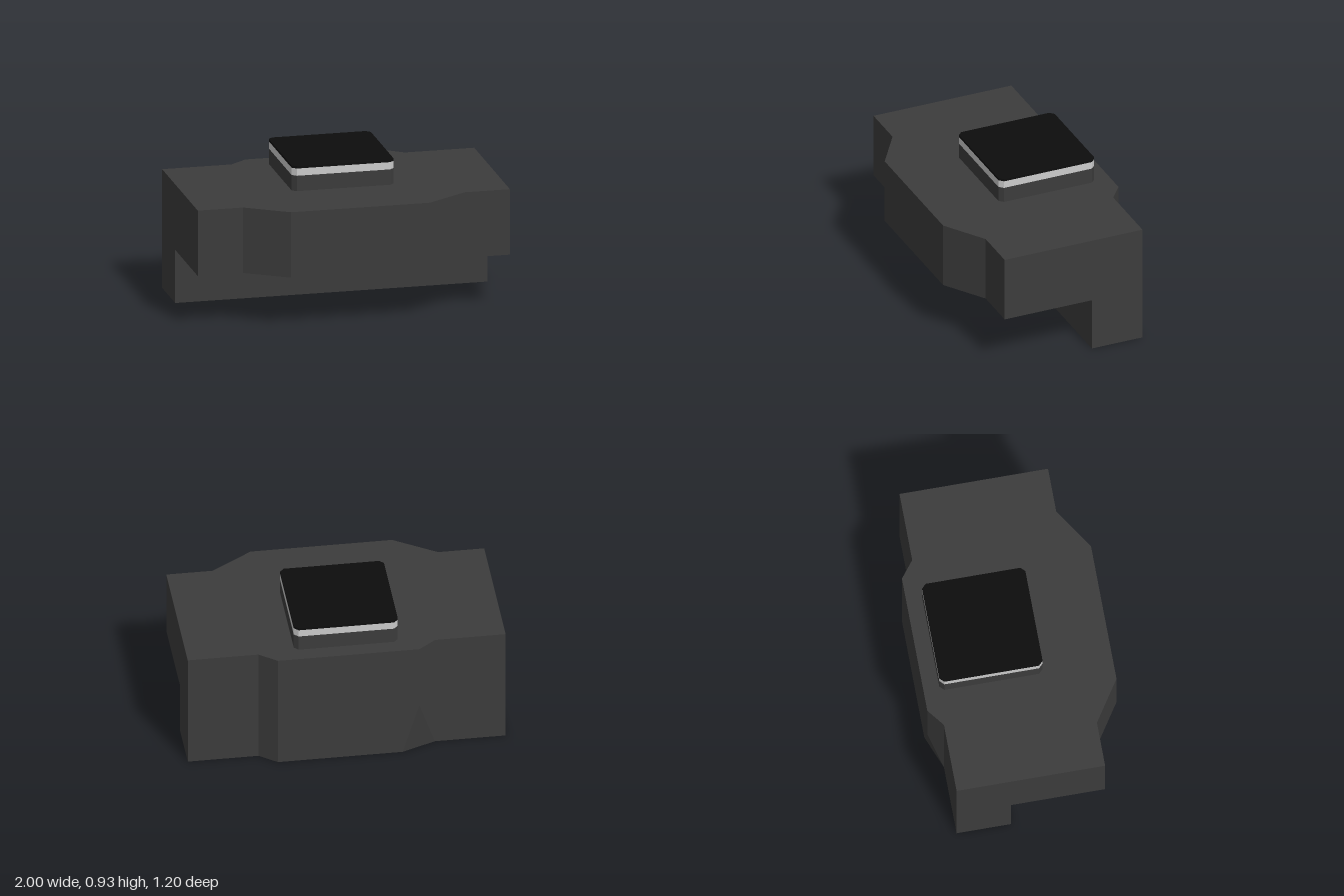
import * as THREE from 'three';

const flat = (name, color) => {
  const m = new THREE.MeshStandardMaterial({ color });
  m.name = name;
  return m;
};

// Upright prism from an outline of [x, z] points, between two heights
function prism(points, y0, y1) {
  const shape = new THREE.Shape(points.map(([x, z]) => new THREE.Vector2(x, -z)));
  const geo = new THREE.ExtrudeGeometry(shape, { depth: y1 - y0, bevelEnabled: false });
  geo.rotateX(-Math.PI / 2);
  geo.translate(0, y0, 0);
  return geo;
}

// Mirror the +x half of an outline to close it
const mirrored = (half) => [...half, ...half.slice().reverse().map(([x, z]) => [-x, z])];

export function createModel() {
  const group = new THREE.Group();
  const charcoal = flat('charcoal', 0x3c3c3c);
  const silver = flat('silver', 0xcccccc);
  const black = flat('black', 0x0d0d0d);

  const add = (name, geo, material) => {
    const mesh = new THREE.Mesh(geo, material);
    mesh.name = name;
    group.add(mesh);
  };

  // Body: wide upper block with bulging front and back
  const back = [[0.445, -0.6], [0.555, -0.515], [1, -0.515]];
  const front = [[1, 0.425], [0.71, 0.425], [0.445, 0.597]];
  add('upperBody', prism(mirrored([...back, ...front]), 0.345, 0.77), charcoal);

  // Rear leg of the L, with one back corner flaring inwards at the foot
  const leg = prism(mirrored([...back, [1, -0.17]]), 0, 0.345);
  const p = leg.attributes.position;
  for (let i = 0; i < p.count; i++) {
    if (p.getY(i) < 0.01 && p.getZ(i) < -0.59 && p.getX(i) < 0) p.setX(i, -0.34);
  }
  leg.computeVertexNormals();
  add('rearLeg', leg, charcoal);

  // Raised square button in three layers with clipped corners
  const w = 0.327, c = 0.027, z0 = -0.498, z1 = 0.155;
  const square = mirrored([[w - c, z0], [w, z0 + c], [w, z1 - c], [w - c, z1]]);
  add('buttonBase', prism(square, 0.77, 0.87), charcoal);
  add('buttonBand', prism(square, 0.87, 0.917), silver);
  add('buttonCap', prism(square, 0.917, 0.932), black);

  return group;
}
